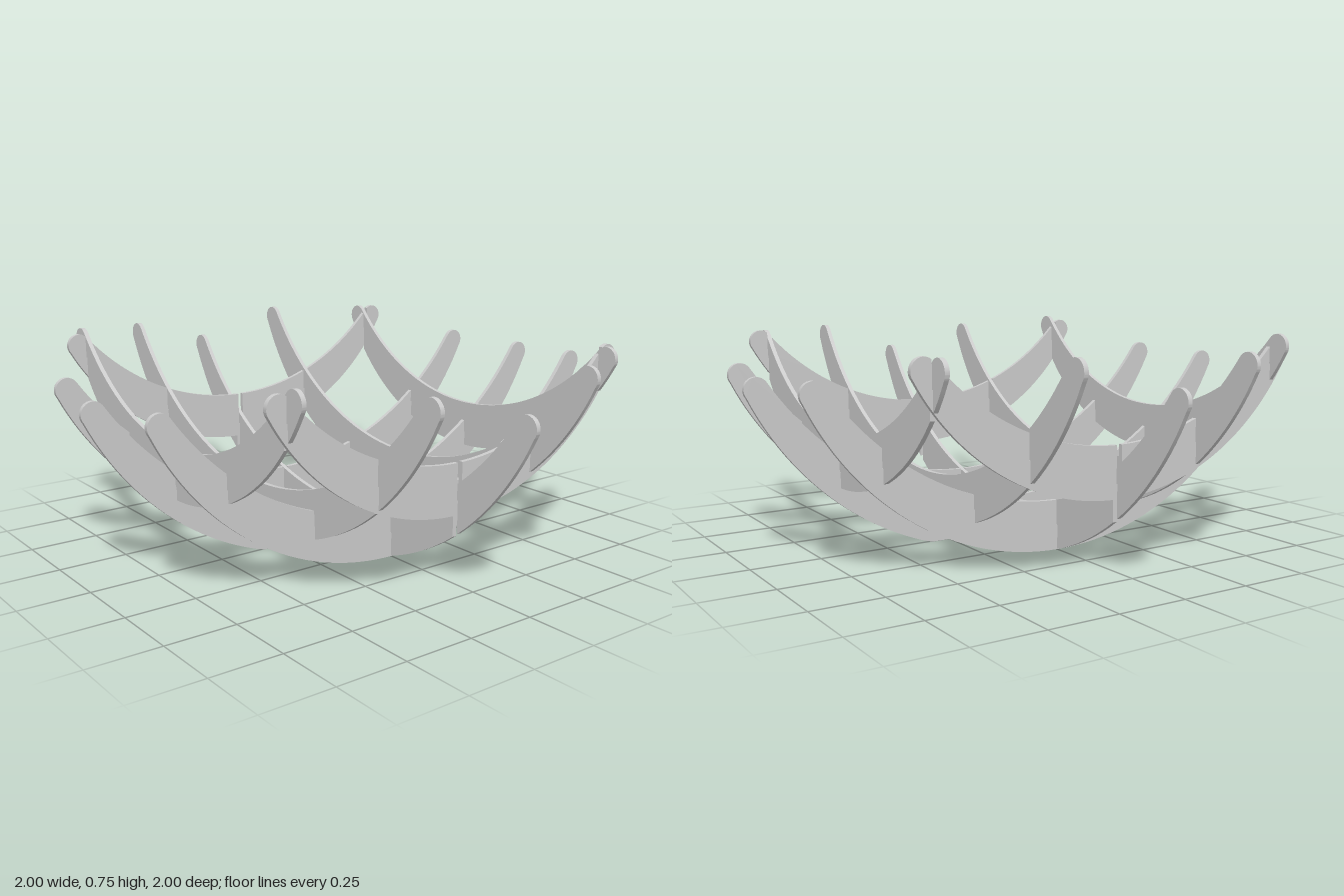
import * as THREE from 'three';
import { toCreasedNormals } from 'three/addons/utils/BufferGeometryUtils.js';

const THICK = 0.016;   // sheet thickness of each rib
const SLOT = 0.01;     // half width of a half-lap slot
const DEPTH = 0.178;   // rib depth at mid span
const TIP = 0.042;     // radius of the rounded tips
const TILT = -0.64;    // angle at which the lower edge meets the tip

// Right half of an edge: a circular arc from (0, y0) to the tip, then part of the round tip
function halfEdge(y0, cx, cy, startAngle) {
  const px = cx + TIP * Math.cos(startAngle), py = cy + TIP * Math.sin(startAngle);
  const h = py - y0, R = (px * px + h * h) / (2 * h), sweep = Math.asin(px / R);
  const pts = [];
  for (let i = 0; i <= 30; i++) {
    const a = sweep * i / 30;
    pts.push([R * Math.sin(a), Math.max(0, y0 + R * (1 - Math.cos(a)))]);
  }
  for (let i = 1; i <= 10; i++) {
    const a = startAngle * (1 - i / 10);
    pts.push([cx + TIP * Math.cos(a), cy + TIP * Math.sin(a)]);
  }
  return pts;
}

const mirrored = (half) => [...half.slice(1).reverse().map(([x, y]) => [-x, y]), ...half];

// Height of an edge at a given position along the rib
function heightAt(edge, x) {
  const i = Math.max(1, edge.findIndex((p) => p[0] >= x));
  const [x0, y0] = edge[i - 1], [x1, y1] = edge[i];
  return y0 + (y1 - y0) * (x - x0) / (x1 - x0);
}

function makeRib(name, pos, bottom, tipX, tipY) {
  return {
    name, pos,
    lower: mirrored(halfEdge(bottom, tipX, tipY, TILT)),
    upper: mirrored(halfEdge(bottom + DEPTH, tipX, tipY, TILT + Math.PI)),
  };
}

// Cut a square slot into an edge
function cutSlot(edge, x, y) {
  const a = x - SLOT, b = x + SLOT;
  return [
    ...edge.filter((p) => p[0] < a),
    [a, heightAt(edge, a)], [a, y], [b, y], [b, heightAt(edge, b)],
    ...edge.filter((p) => p[0] > b),
  ];
}

// Level at which two crossing ribs meet: the middle of their overlap
function jointHeight(across, along) {
  const low = Math.max(heightAt(across.lower, along.pos), heightAt(along.lower, across.pos));
  const high = Math.min(heightAt(across.upper, along.pos), heightAt(along.upper, across.pos));
  return (low + high) / 2;
}

function ribMesh(rib, lower, upper, material) {
  const outline = [...lower, ...upper.slice(1, -1).reverse()].map(([x, y]) => new THREE.Vector2(x, y));
  let geo = new THREE.ExtrudeGeometry(new THREE.Shape(outline), { depth: THICK, bevelEnabled: false });
  geo.translate(0, 0, -THICK / 2);
  geo = toCreasedNormals(geo, 0.5);
  const mesh = new THREE.Mesh(geo, material);
  mesh.name = rib.name;
  return mesh;
}

export function createModel() {
  const group = new THREE.Group();
  group.name = 'slottedBowl';
  const material = new THREE.MeshStandardMaterial({ color: 0xcccccc });

  // Ribs running left to right
  const crossRibs = [
    makeRib('crossRibBackOuter', -0.667, 0.238, 0.703, 0.695),
    makeRib('crossRibBackInner', -0.335, 0.085, 0.9, 0.695),
    makeRib('crossRibMiddle', 0, -0.05, 0.958, 0.593),
    makeRib('crossRibFrontInner', 0.333, 0.08, 0.9, 0.68),
    makeRib('crossRibFrontOuter', 0.667, 0.255, 0.703, 0.713),
  ];
  // Ribs running front to back
  const longRibs = [
    makeRib('longRibRightOuter', -0.665, 0.245, 0.703, 0.697),
    makeRib('longRibRightInner', -0.333, 0.003, 0.9, 0.608),
    makeRib('longRibMiddle', 0, -0.05, 0.958, 0.593),
    makeRib('longRibLeftInner', 0.333, 0.003, 0.9, 0.608),
    makeRib('longRibLeftOuter', 0.665, 0.245, 0.703, 0.697),
  ];

  // Cross ribs are slotted from below
  for (const rib of crossRibs) {
    let lower = rib.lower;
    for (const other of longRibs) lower = cutSlot(lower, other.pos, jointHeight(rib, other));
    const mesh = ribMesh(rib, lower, rib.upper, material);
    mesh.position.z = rib.pos;
    group.add(mesh);
  }
  // Long ribs are slotted from above
  for (const rib of longRibs) {
    let upper = rib.upper;
    for (const other of crossRibs) upper = cutSlot(upper, other.pos, jointHeight(other, rib));
    const mesh = ribMesh(rib, rib.lower, upper, material);
    mesh.rotation.y = -Math.PI / 2;
    mesh.position.x = rib.pos;
    group.add(mesh);
  }
  return group;
}
